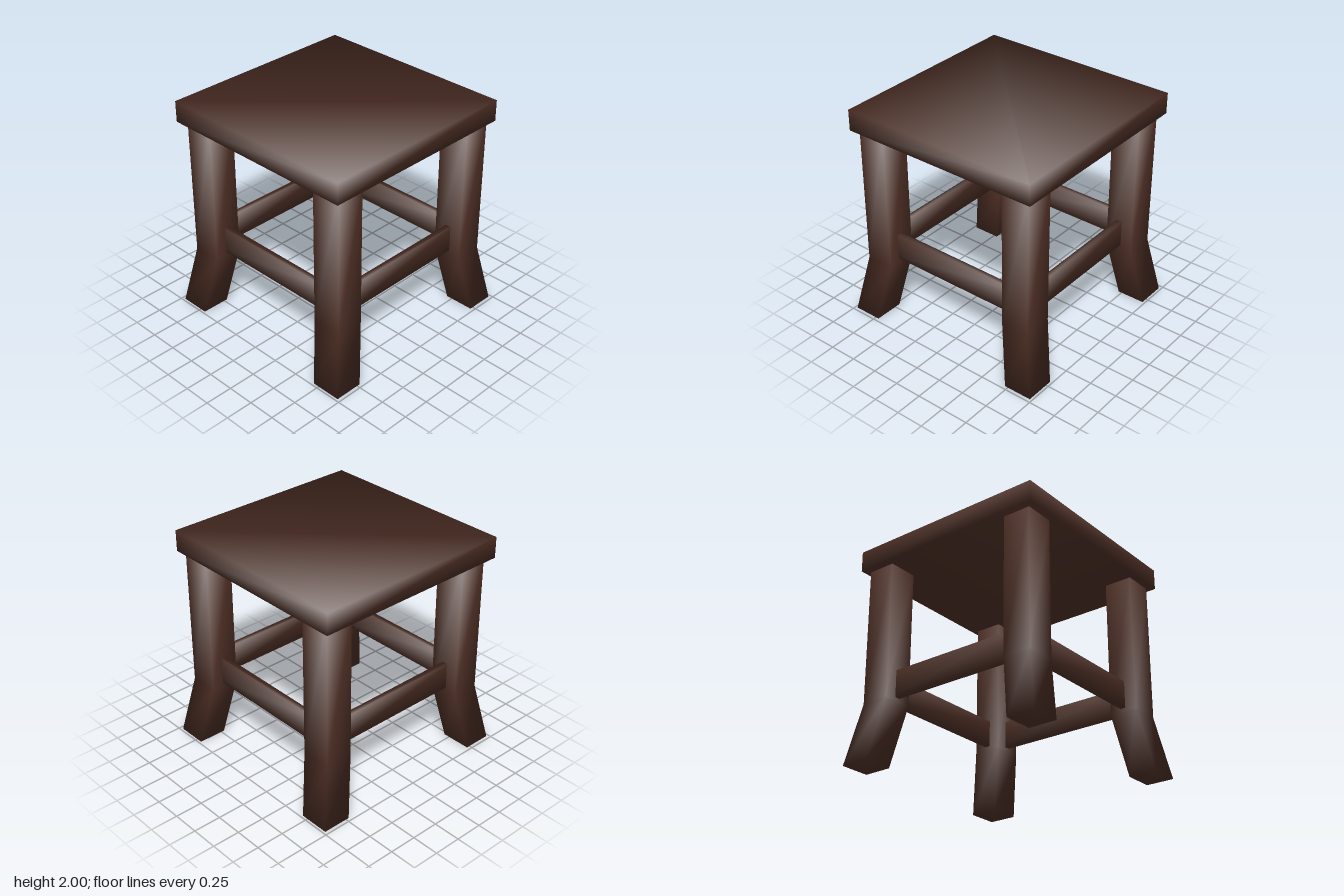
import * as THREE from 'three';

// Four-sided solid through rectangular rings [y, x0, x1, z0, z1], listed from
// the bottom up, with soft normals shared across the corners.
function loft(rings) {
  const pos = [], nor = [], idx = [];
  const last = rings.length - 1;
  rings.forEach(([y, x0, x1, z0, z1], r) => {
    const ny = r === 0 ? -1 : r === last ? 1 : 0;
    for (const [sx, sz] of [[-1, 1], [1, 1], [1, -1], [-1, -1]]) {
      pos.push(sx < 0 ? x0 : x1, y, sz < 0 ? z0 : z1);
      nor.push(...new THREE.Vector3(sx, ny, sz).normalize().toArray());
    }
    if (r === last) return;
    for (let i = 0; i < 4; i++) {
      const a = r * 4 + i, b = r * 4 + (i + 1) % 4;
      idx.push(a, b, b + 4, a, b + 4, a + 4);
    }
  });
  const t = last * 4;
  idx.push(0, 2, 1, 0, 3, 2, t, t + 1, t + 2, t, t + 2, t + 3);
  const g = new THREE.BufferGeometry();
  g.setAttribute('position', new THREE.Float32BufferAttribute(pos, 3));
  g.setAttribute('normal', new THREE.Float32BufferAttribute(nor, 3));
  g.setIndex(idx);
  return g;
}

export function createModel() {
  const stool = new THREE.Group();
  stool.name = 'stool';
  const wood = new THREE.MeshStandardMaterial({ color: 0x4c2e24 });
  wood.name = 'dark wood';

  const add = (name, rings) => {
    const mesh = new THREE.Mesh(loft(rings), wood);
    mesh.name = name;
    stool.add(mesh);
  };

  // Seat slab
  add('seat', [1.81, 2].map(y => [y, -0.94, 0.925, -0.925, 0.935]));

  // Legs: upright above the knee, splayed outwards below it
  const span = (s, inner, outer) => (s > 0 ? [inner, outer] : [-outer, -inner]);
  for (const sx of [-1, 1]) {
    for (const sz of [-1, 1]) {
      const name = (sz > 0 ? 'front' : 'back') + (sx > 0 ? 'Left' : 'Right') + 'Leg';
      const upperX = span(sx, 0.603, 0.875), upperZ = span(sz, 0.617, 0.873);
      add(name, [
        [0, ...span(sx, 0.695, 0.968), ...span(sz, 0.72, 0.978)],
        [0.55, ...upperX, ...upperZ],
        [1.82, ...upperX, ...upperZ],
      ]);
    }
  }

  // Thin stretcher boards joining the leg centres
  const heights = [0.585, 0.83];
  for (const s of [-1, 1]) {
    const across = span(s, 0.715, 0.765);
    add(s > 0 ? 'frontStretcher' : 'backStretcher',
      heights.map(y => [y, -0.74, 0.74, ...across]));
    add(s > 0 ? 'leftStretcher' : 'rightStretcher',
      heights.map(y => [y, ...across, -0.74, 0.74]));
  }

  return stool;
}
